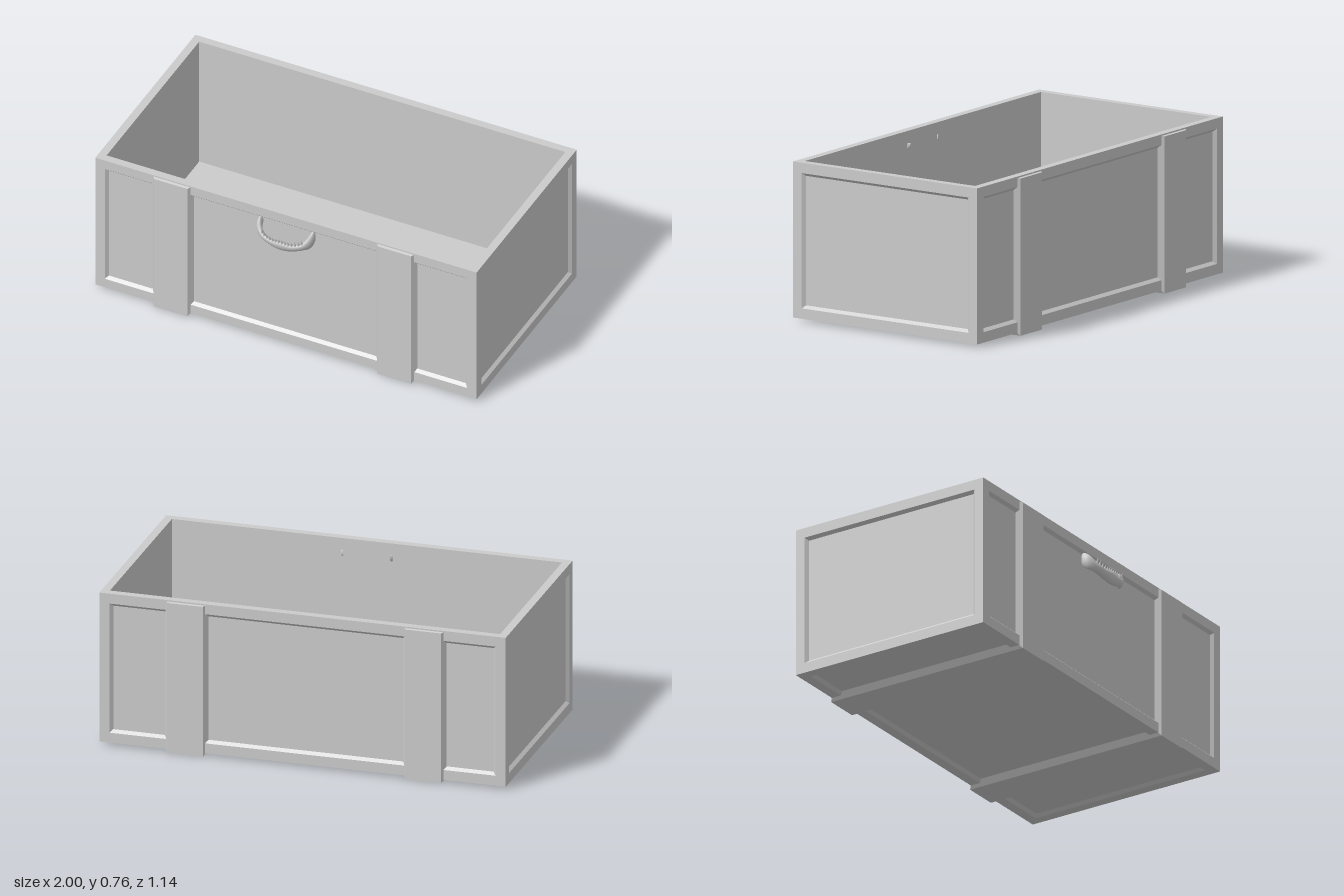
import * as THREE from 'three';

const mat = new THREE.MeshStandardMaterial({ color: 0xcccccc, flatShading: true });
const smoothMat = new THREE.MeshStandardMaterial({ color: 0xcccccc });
const V = (x, y, z) => new THREE.Vector3(x, y, z);

// Joins four-cornered loops into a flat-faced skin; the last loop is capped
function skin(name, loops, capStart = false) {
  const pos = [];
  const quad = (a, b, c, d) => [a, b, c, a, c, d].forEach((p) => pos.push(p.x, p.y, p.z));
  for (let i = 0; i + 1 < loops.length; i++) {
    const A = loops[i], B = loops[i + 1];
    for (let j = 0; j < 4; j++) {
      const k = (j + 1) % 4;
      quad(A[j], A[k], B[k], B[j]);
    }
  }
  quad(...loops[loops.length - 1]);
  if (capStart) quad(...[...loops[0]].reverse());
  const g = new THREE.BufferGeometry();
  g.setAttribute('position', new THREE.Float32BufferAttribute(pos, 3));
  g.computeVertexNormals();
  const mesh = new THREE.Mesh(g, mat);
  mesh.name = name;
  return mesh;
}

// Rectangular face at corner o with edges u, v; steps are [inset, depth] pairs
function face(name, o, u, v, steps) {
  const U = u.clone().normalize(), W = v.clone().normalize();
  const n = U.clone().cross(W);
  const w = u.length(), h = v.length();
  return skin(name, steps.map(([i, d]) =>
    [[i, i], [w - i, i], [w - i, h - i], [i, h - i]].map(([a, b]) =>
      o.clone().addScaledVector(U, a).addScaledVector(W, b).addScaledVector(n, -d))));
}

// U-shaped strap with sloped sides wrapping front, bottom and back
function strap(name, x) {
  const stations = [ // outer z, y, inner z, y
    [0.508, 0.755, 0.475, 0.764], [0.508, 0, 0.475, 0.035],
    [-0.576, 0, -0.545, 0.035], [-0.576, 0.755, -0.545, 0.764],
  ];
  const w = 0.0875, W = 0.111;
  return skin(name, stations.map(([oz, oy, iz, iy]) =>
    [V(x + w, oy, oz), V(x - w, oy, oz), V(x - W, iy, iz), V(x + W, iy, iz)]), true);
}

// Jaw-shaped handle: an oval section swept round a horizontal arch
function jawHandle() {
  const group = new THREE.Group();
  group.name = 'jawHandle';
  const half = [ // x, z, low y, high y, half thickness
    [0, 0.546, 0.59, 0.646, 0.015], [0.05, 0.543, 0.597, 0.642, 0.014],
    [0.1, 0.532, 0.613, 0.655, 0.014], [0.13, 0.512, 0.622, 0.692, 0.014],
    [0.138, 0.485, 0.64, 0.71, 0.012], [0.115, 0.446, 0.685, 0.706, 0.004],
  ];
  const rows = [...half.slice(1).reverse().map(([x, ...r]) => [-x, ...r]), ...half];
  const path = new THREE.CatmullRomCurve3(rows.map((r) => V(r[0], 0, r[1])));
  const size = new THREE.CatmullRomCurve3(rows.map((r) => V(r[2], r[3], r[4])));
  const at = (t, a) => {
    const p = path.getPoint(t), s = size.getPoint(t), d = path.getTangent(t);
    const c = Math.cos(a) * s.z, up = Math.sin(a);
    // the upper edge leans forward
    const lean = 0.008 * up * Math.sin(Math.PI * t);
    return V(p.x - d.z * c, (s.x + s.y) / 2 + up * (s.y - s.x) / 2, p.z + d.x * c + lean);
  };
  const N = 40, M = 12, pos = [], idx = [];
  for (let i = 0; i <= N; i++) {
    for (let j = 0; j < M; j++) {
      pos.push(...at(i / N, (j / M) * Math.PI * 2).toArray());
      if (i === N) continue;
      const k = (j + 1) % M, a = i * M, b = a + M;
      idx.push(a + j, b + j, b + k, a + j, b + k, a + k);
    }
  }
  const g = new THREE.BufferGeometry();
  g.setAttribute('position', new THREE.Float32BufferAttribute(pos, 3));
  g.setIndex(idx);
  g.computeVertexNormals();
  const jaw = new THREE.Mesh(g, smoothMat);
  jaw.name = 'jawBone';
  group.add(jaw);

  // Row of small teeth along the upper edge, longer towards the corners
  const count = 14;
  for (let i = 0; i < count; i++) {
    const s = (i / (count - 1)) * 2 - 1;
    const h = 0.026 + 0.01 * Math.abs(s);
    const tooth = new THREE.Mesh(new THREE.ConeGeometry(0.009, h, 6), smoothMat);
    tooth.name = 'tooth';
    tooth.position.copy(at(0.5 + s * 0.21, Math.PI / 2));
    tooth.position.y += h * 0.25;
    tooth.position.z += 0.004;
    tooth.rotation.x = 0.35;
    group.add(tooth);
  }
  return group;
}

export function createModel() {
  const model = new THREE.Group();
  model.name = 'crate';
  const X = 1, y0 = 0.015, y1 = 0.765, z0 = -0.565, z1 = 0.495;
  const H = V(0, y1 - y0, 0), L = V(2 * X, 0, 0), D = V(0, 0, z1 - z0);
  const neg = (v) => v.clone().negate();
  const panel = [[0, 0], [0.05, 0], [0.064, 0.015]];

  // Framed, recessed panels on the five outer sides
  model.add(
    face('frontPanel', V(-X, y0, z1), L, H, panel),
    face('backPanel', V(X, y0, z0), neg(L), H, panel),
    face('leftPanel', V(X, y0, z1), neg(D), H, panel),
    face('rightPanel', V(-X, y0, z0), D, H, panel),
    face('bottomPanel', V(-X, y0, z0), L, D, panel),
    // Rim, inner walls and floor
    face('rimAndInterior', V(-X, y1, z1), L, neg(D), [[0, 0], [0.04, 0], [0.04, 0.71]]),
    strap('rightStrap', -0.5975),
    strap('leftStrap', 0.575),
    jawHandle(),
  );
  return model;
}
